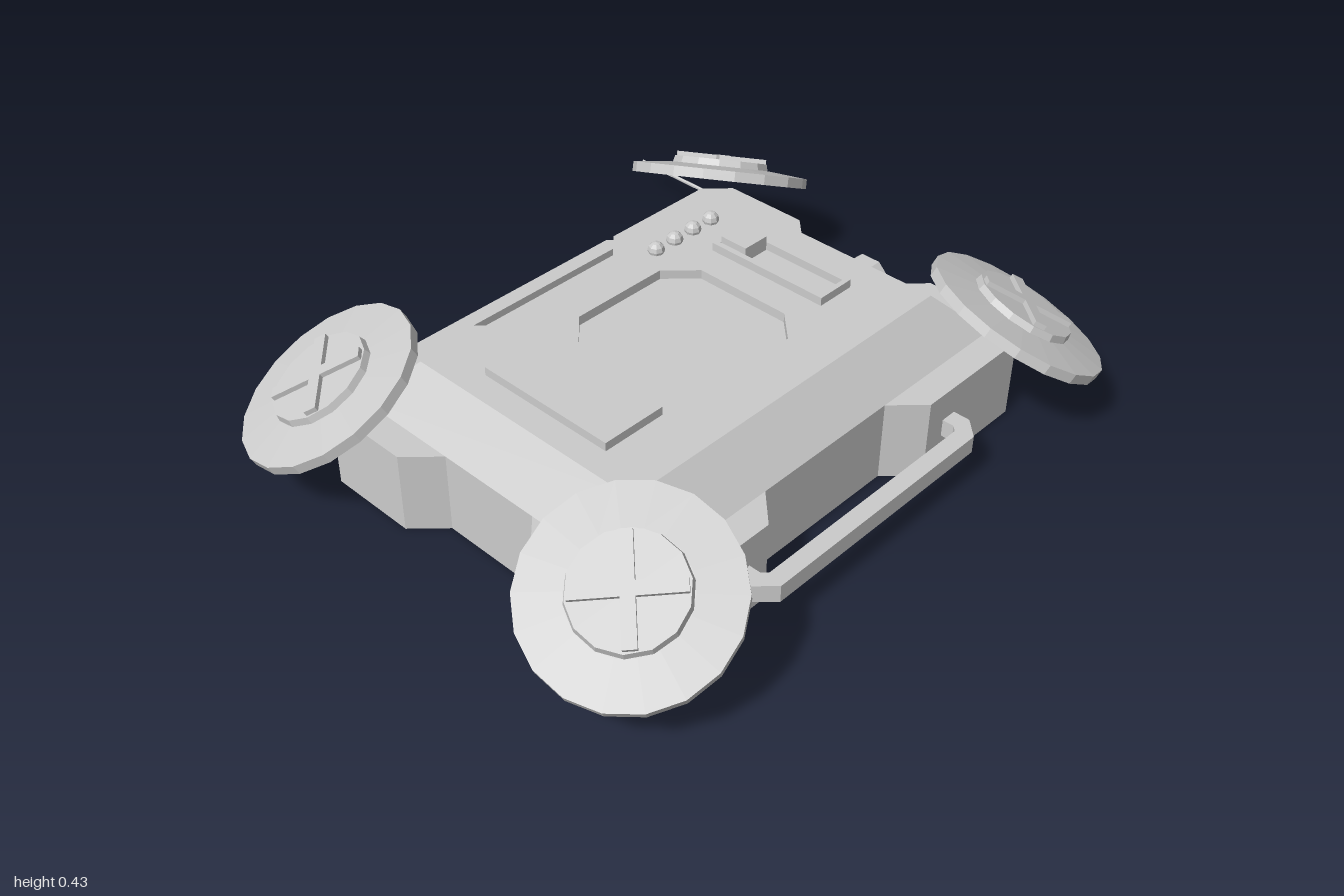
import * as THREE from 'three';

const material = new THREE.MeshStandardMaterial({ color: 0xcccccc, flatShading: true });
const CZ = 0.08; // the hull sits slightly forward of the overall centre

function add(parent, name, geometry, x = 0, y = 0, z = 0) {
  const mesh = new THREE.Mesh(geometry, material);
  mesh.name = name;
  mesh.position.set(x, y, z);
  parent.add(mesh);
  return mesh;
}

const box = (w, h, d) => new THREE.BoxGeometry(w, h, d);
const toPoints = (list) => list.map(([x, z]) => new THREE.Vector2(x, z));

// Extrude a plan outline (x, z) upwards from y = 0
function slab(outline, height, holes = []) {
  const shape = new THREE.Shape(toPoints(outline));
  holes.forEach((h) => shape.holes.push(new THREE.Path(toPoints(h))));
  return new THREE.ExtrudeGeometry(shape, { depth: height, bevelEnabled: false }).rotateX(-Math.PI / 2);
}

// Mirror a quarter outline, running from the +x side to the +z side, into a full loop
function mirrorLoop(quarter) {
  const back = [...quarter].reverse();
  return [
    ...quarter,
    ...back.map(([x, z]) => [-x, z]),
    ...quarter.map(([x, z]) => [-x, -z]),
    ...back.map(([x, z]) => [x, -z]),
  ];
}

const rect = (w, d) => mirrorLoop([[w / 2, d / 2]]);

function createHull() {
  const hull = new THREE.Group();
  hull.name = 'hull';

  // Lower hull with protruding chamfered corners
  add(hull, 'lowerHull', slab(mirrorLoop([
    [0.69, 0.16], [0.775, 0.245], [0.775, 0.515], [0.705, 0.585], [0.32, 0.585], [0.235, 0.5],
  ]), 0.24));

  // Sloping shoulders between the lower hull and the deck
  const shoulders = new THREE.CylinderGeometry(Math.SQRT1_2, Math.SQRT1_2, 0.12, 4, 1, true).rotateY(Math.PI / 4);
  const p = shoulders.attributes.position;
  for (let i = 0; i < p.count; i++) {
    const top = p.getY(i) > 0;
    p.setX(i, Math.sign(p.getX(i)) * (top ? 0.575 : 0.69));
    p.setZ(i, Math.sign(p.getZ(i)) * (top ? 0.38 : 0.5));
  }
  add(hull, 'shoulders', shoulders, 0, 0.3, 0);

  // Deck with an octagonal recess
  const octagon = mirrorLoop([[0.235, 0.15], [0.155, 0.232]]);
  add(hull, 'deck', slab(rect(1.15, 0.76), 0.03, [octagon]), 0, 0.33, 0);
  add(hull, 'recessFloor', slab(octagon, 0.02), 0, 0.312, 0);

  // Raised plate, framed slot with slider, and a row of buttons
  add(hull, 'deckPlate', box(0.195, 0.025, 0.435), -0.4, 0.3725, 0);
  add(hull, 'slotFrame', slab(rect(0.125, 0.395), 0.025, [rect(0.09, 0.365)]), 0.393, 0.36, 0);
  add(hull, 'slider', box(0.088, 0.045, 0.09), 0.393, 0.3825, -0.135);
  for (let i = 0; i < 4; i++) {
    add(hull, 'button', new THREE.SphereGeometry(0.025, 8, 6), 0.215 + i * 0.075, 0.368, -0.305);
  }

  // Carrying handles on the front and back
  const handle = slab([
    [0.435, 0.48], [0.435, 0.635], [0.385, 0.685], [-0.385, 0.685], [-0.435, 0.635], [-0.435, 0.48],
    [-0.385, 0.48], [-0.385, 0.62], [-0.37, 0.635], [0.37, 0.635], [0.385, 0.62], [0.385, 0.48],
  ], 0.052);
  for (const turn of [0, Math.PI]) {
    add(hull, 'handle', handle, 0, 0.1, 0).rotation.y = turn;
  }
  return hull;
}

// Tilted disc facing outwards, with a raised hub and crossed ribs
function createDisc(sx, sz) {
  const disc = new THREE.Group();
  disc.name = 'disc';
  add(disc, 'rim', new THREE.CylinderGeometry(0.27, 0.27, 0.03, 18), 0, -0.004, 0);
  add(disc, 'face', new THREE.CylinderGeometry(0.15, 0.27, 0.012, 18), 0, 0.017, 0);
  add(disc, 'hub', new THREE.CylinderGeometry(0.145, 0.15, 0.02, 14), 0, 0.033, 0);
  for (const angle of [Math.PI / 4, -Math.PI / 4]) {
    add(disc, 'rib', box(0.275, 0.016, 0.035), 0, 0.049, 0).rotation.y = angle;
  }
  const normal = new THREE.Vector3(sx * 0.43, 0.86, sz * 0.27).normalize();
  disc.quaternion.setFromUnitVectors(new THREE.Vector3(0, 1, 0), normal);
  disc.position.set(sx * 0.75, 0.288, sz * 0.55);
  return disc;
}

// Octagonal side mount with a long thin rod pointing back
function createAntenna() {
  const antenna = new THREE.Group();
  antenna.name = 'antenna';
  const along = (radius, x0, x1) => new THREE.CylinderGeometry(radius, radius, x1 - x0, 8)
    .rotateY(Math.PI / 8).rotateZ(Math.PI / 2).translate((x0 + x1) / 2, 0, 0);
  add(antenna, 'mount', along(0.083, 0.67, 0.815));
  add(antenna, 'collar', along(0.045, 0.81, 0.83));
  add(antenna, 'pin', along(0.01, 0.82, 0.855));
  add(antenna, 'rod', new THREE.CylinderGeometry(0.006, 0.006, 0.98, 6).rotateX(Math.PI / 2), 0.849, 0, -0.49);
  antenna.position.y = 0.12;
  return antenna;
}

export function createModel() {
  const model = new THREE.Group();
  model.name = 'device';
  const body = new THREE.Group();
  body.name = 'body';
  body.position.z = CZ;
  body.add(createHull(), createAntenna());
  for (const sx of [-1, 1]) for (const sz of [-1, 1]) body.add(createDisc(sx, sz));
  model.add(body);
  return model;
}
